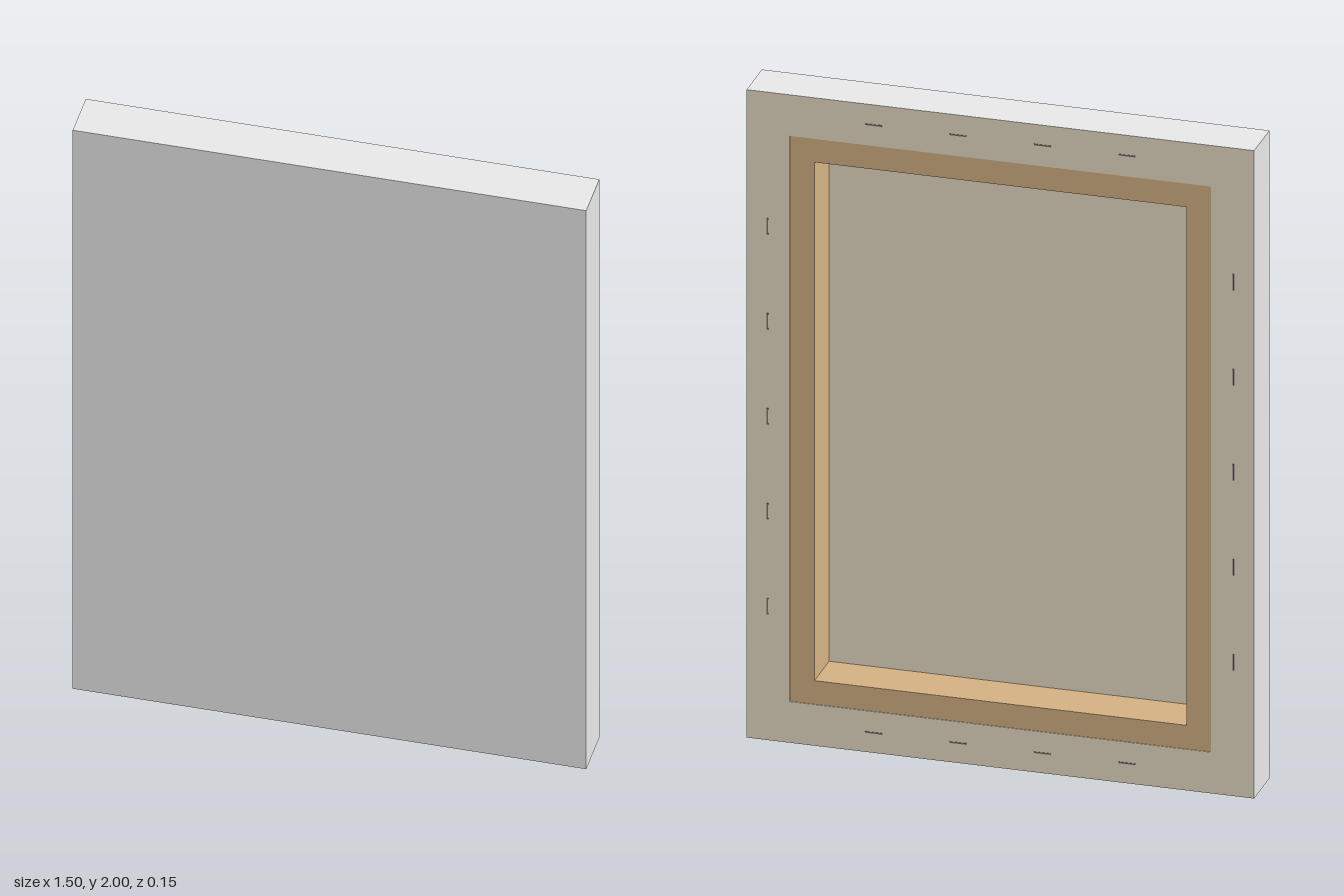
import * as THREE from 'three';

const W = 1.5, H = 2;            // canvas face
const FRONT = 0.076, BACK = -0.0735;
const CLOTH = 0.004;             // cloth thickness

const mat = (name, color) => {
  const m = new THREE.MeshStandardMaterial({ color });
  m.name = name;
  return m;
};

// Traces a rectangle inset from the canvas outline
function rect(path, inset) {
  const x = W / 2 - inset, y = H / 2 - inset;
  path.moveTo(-x, -y);
  path.lineTo(x, -y);
  path.lineTo(x, y);
  path.lineTo(-x, y);
  path.closePath();
  return path;
}

// Rectangular ring between two insets, from z0 to z1
function ring(name, outer, inner, z0, z1, materials) {
  const shape = rect(new THREE.Shape(), outer);
  shape.holes.push(rect(new THREE.Path(), inner));
  const geo = new THREE.ExtrudeGeometry(shape, { depth: z1 - z0, bevelEnabled: false });
  geo.translate(0, H / 2, z0);
  const mesh = new THREE.Mesh(geo, materials);
  mesh.name = name;
  return mesh;
}

export function createModel() {
  const group = new THREE.Group();
  group.name = 'stretchedCanvas';

  const primed = mat('primedWhite', 0xf0f0f0);
  const raw = mat('rawCloth', 0xe8dcc4);
  const wood = mat('pineWood', 0xd4b083);
  const steel = mat('stapleSteel', 0x777777);

  // Painting surface: primed outside, raw cloth on the back
  const sheet = new THREE.Mesh(
    new THREE.BoxGeometry(W, H, CLOTH),
    [primed, primed, primed, primed, primed, raw]
  );
  sheet.name = 'canvasFront';
  sheet.position.set(0, H / 2, FRONT - CLOTH / 2);
  group.add(sheet);

  // Cloth around the edges and folded over the back
  group.add(ring('canvasEdge', 0, CLOTH, BACK, FRONT - CLOTH, [raw, primed]));
  group.add(ring('canvasFold', CLOTH, 0.127, BACK, BACK + 0.002, raw));

  // Wooden stretcher frame
  group.add(ring('stretcherFrame', CLOTH, 0.2, BACK + 0.002, FRONT - CLOTH, wood));

  // Staples: a thin crown with two short legs
  const crown = new THREE.BoxGeometry(0.05, 0.004, 0.0015);
  const leg = new THREE.BoxGeometry(0.004, 0.004, 0.005);
  function addStaple(x, y, vertical) {
    const staple = new THREE.Group();
    staple.name = 'staple';
    const bar = new THREE.Mesh(crown, steel);
    bar.name = 'stapleCrown';
    bar.position.z = -0.0018;
    staple.add(bar);
    for (const s of [-1, 1]) {
      const l = new THREE.Mesh(leg, steel);
      l.name = 'stapleLeg';
      l.position.set(s * 0.023, 0, 0.0005);
      staple.add(l);
    }
    staple.position.set(x, y, BACK);
    if (vertical) staple.rotation.z = Math.PI / 2;
    group.add(staple);
  }
  for (const s of [-1, 1]) {
    for (let i = 0; i < 4; i++) addStaple(-0.375 + 0.25 * i, H / 2 + s * 0.938, false);
    for (let i = -2; i <= 2; i++) addStaple(s * 0.688, H / 2 + 0.293 * i, true);
  }

  return group;
}
